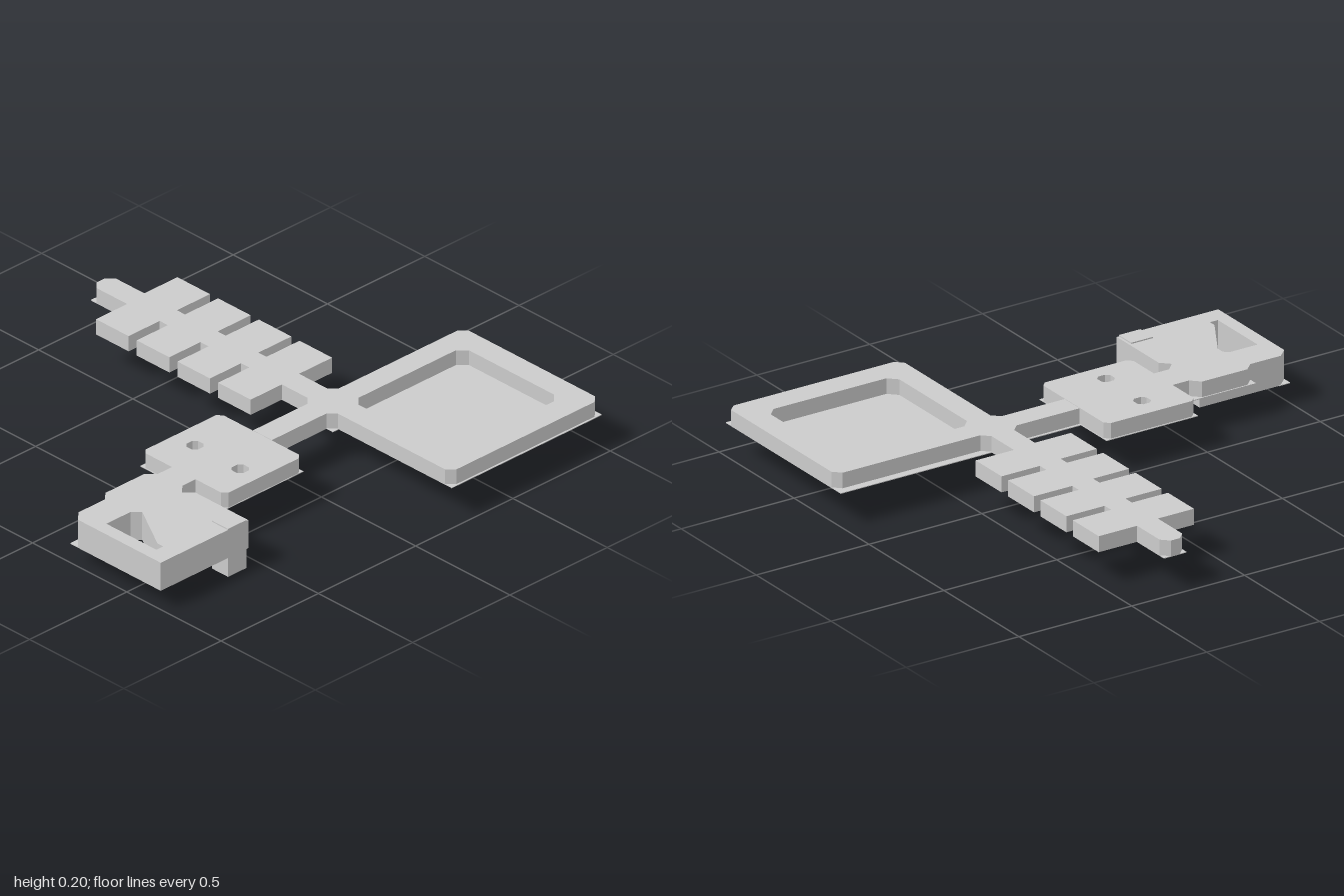
import * as THREE from 'three';

const FLOOR = 0.135, TOP = 0.2;

export function createModel() {
  const group = new THREE.Group();
  const material = new THREE.MeshStandardMaterial({ color: 0xcccccc, flatShading: true, side: THREE.DoubleSide });

  const add = (name, geometry) => {
    const mesh = new THREE.Mesh(geometry, material);
    mesh.name = name;
    group.add(mesh);
    return mesh;
  };

  // Raises a plan outline of [x, z] points from y0 to y1, with optional holes
  const slab = (name, plan, y0, y1, holes = []) => {
    const points = (list) => list.map(([x, z]) => new THREE.Vector2(x, -z));
    const shape = new THREE.Shape(points(plan));
    holes.forEach((h) => shape.holes.push(new THREE.Path(points(h))));
    const geometry = new THREE.ExtrudeGeometry(shape, { depth: y1 - y0, bevelEnabled: false });
    geometry.rotateX(-Math.PI / 2);
    geometry.translate(0, y0, 0);
    return add(name, geometry);
  };

  const box = (name, x0, x1, z0, z1, y0, y1) => {
    const geometry = new THREE.BoxGeometry(x1 - x0, y1 - y0, z1 - z0);
    geometry.translate((x0 + x1) / 2, (y0 + y1) / 2, (z0 + z1) / 2);
    return add(name, geometry);
  };

  // Thin floor sheet under the walls
  const sheet = (name, x0, x1, z0, z1, y = FLOOR) => box(name, x0, x1, z0, z1, y - 0.001, y + 0.002);

  // Rectangle with cut corners
  const cutRect = (x0, x1, z0, z1, c) => [
    [x0 + c, z0], [x1 - c, z0], [x1, z0 + c], [x1, z1 - c],
    [x1 - c, z1], [x0 + c, z1], [x0, z1 - c], [x0, z0 + c],
  ];

  // Long hallway, square hall with its sunken court, and the linking corridor
  slab('hallAndHallways', [
    [-0.93, -0.33], [0.19, -0.33], [0.22, -0.36], [0.22, -0.97], [0.25, -1],
    [0.92, -1], [0.948, -0.97], [0.948, -0.26], [0.918, -0.23], [0.35, -0.23],
    [0.32, -0.2], [0.32, 0.08], [0.22, 0.08], [0.22, -0.2], [0.19, -0.23],
    [-0.93, -0.23], [-0.96, -0.26], [-0.96, -0.3],
  ], FLOOR, TOP, [cutRect(0.32, 0.84, -0.9, -0.33, 0.035)]);
  sheet('hallFloor', 0.187, 0.955, -1, -0.23);
  sheet('hallwayFloor', -0.96, 0.22, -0.33, -0.23);
  sheet('corridorFloor', 0.21, 0.32, -0.23, 0.08);
  sheet('junctionFloor', 0.19, 0.355, -0.23, -0.2);

  // Four pairs of small rooms along the hallway
  for (let i = 0; i < 4; i++) {
    const x = -0.78 + i * 0.216;
    box('backRoom', x, x + 0.173, -0.5, -0.33, FLOOR, TOP);
    box('frontRoom', x + 0.012, x + 0.185, -0.23, -0.07, FLOOR, TOP);
  }

  // Middle room with two small wells
  const well = (x, z) => cutRect(x - 0.03, x + 0.03, z - 0.03, z + 0.03, 0.015);
  slab('middleRoom', cutRect(0.045, 0.485, 0.082, 0.482, 0.02), FLOOR, TOP, [well(0.15, 0.31), well(0.39, 0.31)]);
  sheet('middleRoomFloor', 0.04, 0.487, 0.08, 0.485);

  // Front chamber: upper storey with neck, deeper lower storey, triangular stairwell
  const stairwell = [[0.335, 0.82], [0.365, 0.79], [0.57, 0.91], [0.6, 0.91], [0.6, 0.945], [0.335, 0.945]];
  slab('frontChamberUpper', [
    [0.205, 0.482], [0.205, 0.555], [0.17, 0.59], [0.17, 0.79], [0.203, 0.825],
    [0.203, 0.96], [0.24, 1], [0.68, 1], [0.68, 0.55], [0.4, 0.55],
    [0.365, 0.585], [0.33, 0.55], [0.33, 0.482],
  ], FLOOR, TOP, [stairwell]);
  slab('frontChamberLower', [
    [0.203, 0.6], [0.203, 0.96], [0.24, 1], [0.68, 1], [0.68, 0.55], [0.4, 0.55], [0.365, 0.6],
  ], 0.08, FLOOR, [stairwell]);
  sheet('neckFloor', 0.165, 0.365, 0.485, 0.6);
  sheet('sideFloor', 0.165, 0.21, 0.485, 0.825);
  sheet('frontCornerFloor', 0.2, 0.25, 0.95, 1, 0.081);

  // Sloping stair floor
  const ramp = slab('stairRamp', [[0.36, 0.79], [0.57, 0.91], [0.6, 0.91], [0.6, 0.945], [0.36, 0.945]], 0, 0.004);
  const p = ramp.geometry.attributes.position;
  for (let i = 0; i < p.count; i++) p.setY(i, p.getY(i) + 0.07 + (p.getX(i) - 0.36) * 0.045);
  ramp.geometry.computeVertexNormals();

  // Shaft going down at the back corner of the chamber
  box('shaft', 0.597, 0.681, 0.56, 0.655, 0, 0.205);

  return group;
}
